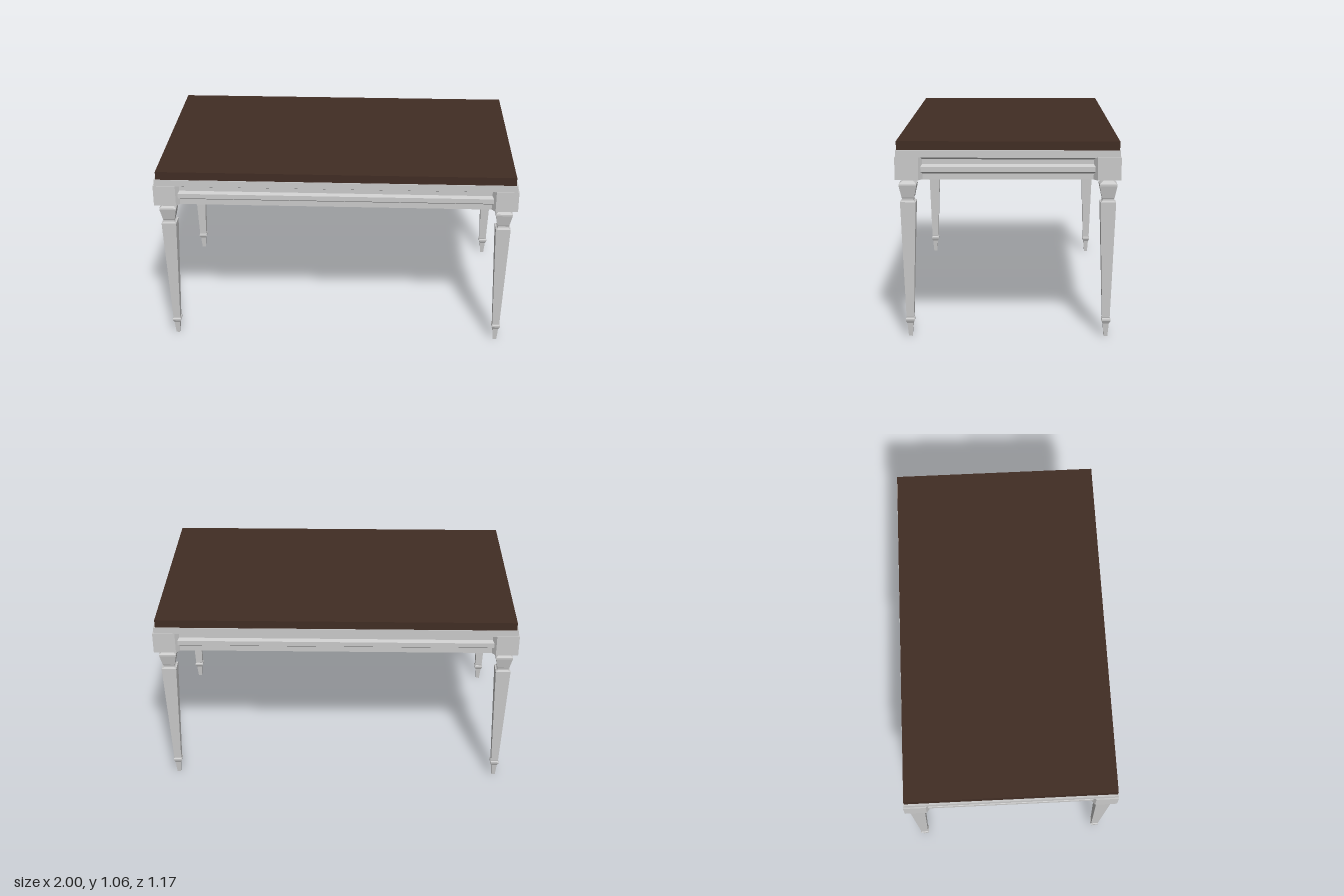
import * as THREE from 'three';

export function createModel() {
  const table = new THREE.Group();
  table.name = 'table';
  const paint = new THREE.MeshStandardMaterial({ color: 0xcacaca });
  paint.name = 'pale grey paint';
  const wood = new THREE.MeshStandardMaterial({ color: 0x412d24 });
  wood.name = 'dark wood';

  const HX = 1, HZ = 0.585; // outer half sizes at the corner blocks

  function add(name, geometry, material) {
    const mesh = new THREE.Mesh(geometry, material);
    mesh.name = name;
    table.add(mesh);
    return mesh;
  }

  // A plain slab between two heights
  function slab(name, hx, hz, y0, y1, material) {
    const geometry = new THREE.BoxGeometry(hx * 2, y1 - y0, hz * 2);
    add(name, geometry, material).position.y = (y0 + y1) / 2;
  }
  slab('tableTop', 0.983, 0.577, 1.015, 1.061, wood);
  slab('topFrame', 0.993, 0.581, 0.977, 1.015, paint);

  // Apron rails: profile as inset from the block face, and height
  const railProfile = [
    [0.13, 0.86], [0.026, 0.86], [0.026, 0.892], [0.014, 0.901], [0.014, 0.928],
    [0.026, 0.942], [0.026, 0.966], [0.012, 0.978], [0.13, 0.978],
  ];
  function rail(name, half, length, angle) {
    const shape = new THREE.Shape(railProfile.map(([d, y]) => new THREE.Vector2(half - d, y)));
    const geometry = new THREE.ExtrudeGeometry(shape, { depth: length, bevelEnabled: false });
    geometry.translate(0, 0, -length / 2);
    add(name, geometry, paint).rotation.y = angle;
  }
  rail('leftRail', HX, HZ * 2 - 0.22, 0);
  rail('rightRail', HX, HZ * 2 - 0.22, Math.PI);
  rail('frontRail', HZ, HX * 2 - 0.22, -Math.PI / 2);
  rail('backRail', HZ, HX * 2 - 0.22, Math.PI / 2);

  // Corner block outline: insets from the outer corner, bevelled towards the rails
  const blockPlan = [
    [0, 0], [0.122, 0], [0.142, 0.027], [0.142, 0.13], [0.13, 0.142], [0.027, 0.142], [0, 0.122],
  ];
  // Square turned leg: half width and height, from the foot up
  const legProfile = [
    [0, 0], [0.01, 0], [0.016, 0.072], [0.019, 0.078], [0.024, 0.089], [0.024, 0.099],
    [0.019, 0.105], [0.02, 0.11], [0.041, 0.738], [0.034, 0.74], [0.03, 0.746],
    [0.03, 0.755], [0.033, 0.762], [0.046, 0.825], [0.046, 0.834], [0.036, 0.843],
    [0.022, 0.853], [0.022, 0.865],
  ].map(([w, y]) => new THREE.Vector2(w * Math.SQRT2, y));
  const legGeometry = new THREE.LatheGeometry(legProfile, 4, Math.PI / 4).toNonIndexed();
  legGeometry.computeVertexNormals();

  for (const [sx, side] of [[1, 'Left'], [-1, 'Right']]) {
    for (const [sz, end] of [[1, 'front'], [-1, 'back']]) {
      const shape = new THREE.Shape(
        blockPlan.map(([a, b]) => new THREE.Vector2(sx * (HX - a), sz * (HZ - b))));
      const block = new THREE.ExtrudeGeometry(shape, { depth: 0.119, bevelEnabled: false });
      block.rotateX(Math.PI / 2).translate(0, 0.979, 0);
      add(end + side + 'Block', block, paint);
      add(end + side + 'Leg', legGeometry, paint).position.set(sx * 0.93, 0, sz * 0.522);
    }
  }
  return table;
}
